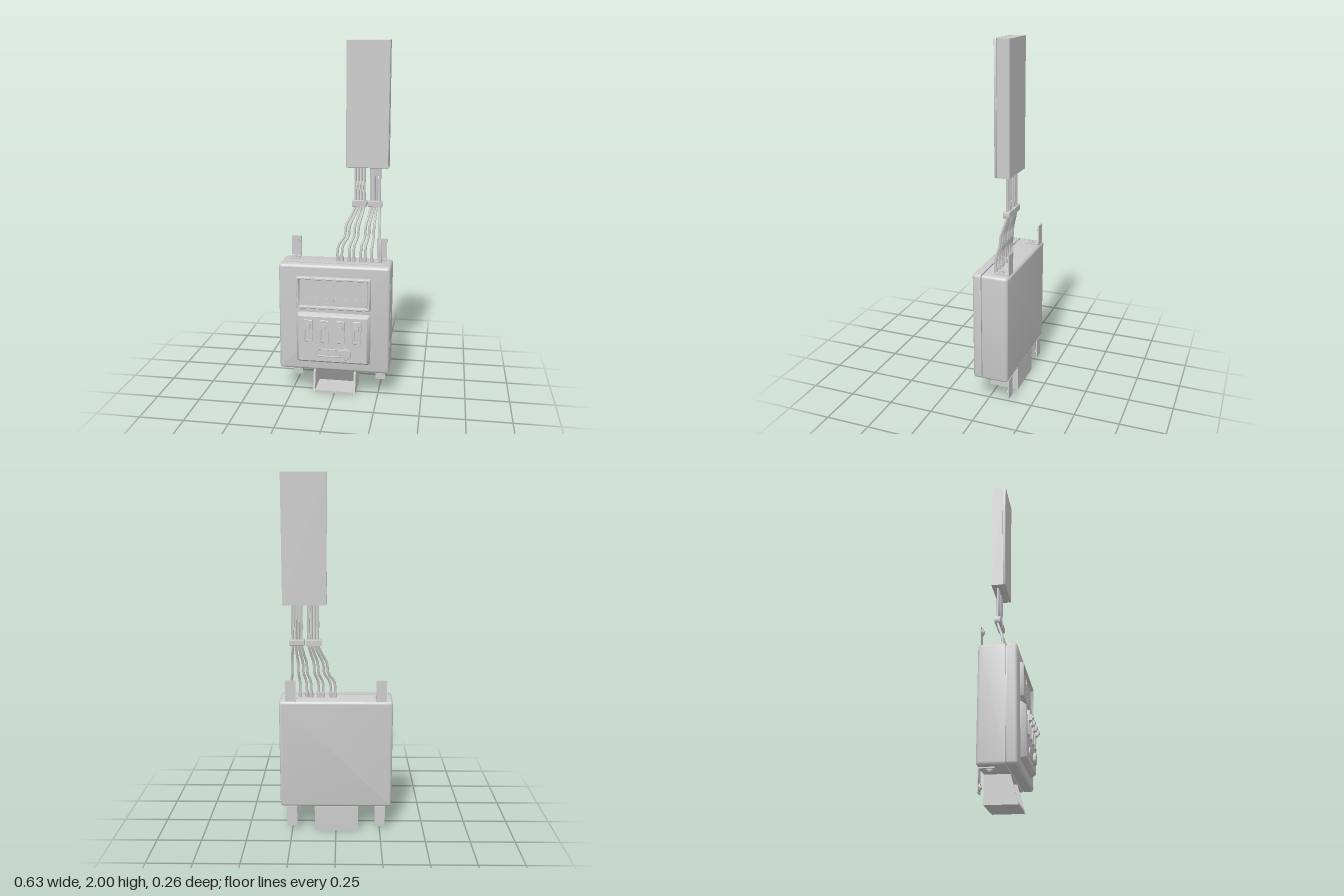
import * as THREE from 'three';
import { toCreasedNormals } from 'three/addons/utils/BufferGeometryUtils.js';

const mat = new THREE.MeshStandardMaterial({ color: 0xcccccc, side: THREE.DoubleSide });

function add(parent, name, geo, x = 0, y = 0, z = 0) {
  const m = new THREE.Mesh(geo, mat);
  m.name = name;
  m.position.set(x, y, z);
  parent.add(m);
  return m;
}
const box = (parent, name, x0, x1, y0, y1, z0, z1) =>
  add(parent, name, new THREE.BoxGeometry(x1 - x0, y1 - y0, z1 - z0), (x0 + x1) / 2, (y0 + y1) / 2, (z0 + z1) / 2);

// Rounded-rectangle outline, counter-clockwise seen from the front
function outline(w, h, r, n = 4) {
  const pts = [];
  [[1, 1], [-1, 1], [-1, -1], [1, -1]].forEach(([sx, sy], q) => {
    for (let i = 0; i <= n; i++) {
      const a = (q + i / n) * Math.PI / 2;
      pts.push([sx * (w / 2 - r) + r * Math.cos(a), sy * (h / 2 - r) + r * Math.sin(a)]);
    }
  });
  return pts;
}

// Capped loft through rounded rectangles; each ring is [z, inset], back to front
function shell(parent, name, x0, x1, y0, y1, r, rings) {
  const pos = [], idx = [];
  const loops = rings.map(([z, d]) =>
    outline(x1 - x0 - 2 * d, y1 - y0 - 2 * d, Math.max(r - d, 0.002)).map(p => [...p, z]));
  const n = loops[0].length;
  loops.forEach(l => l.forEach(p => pos.push(...p)));
  for (let k = 0; k < loops.length - 1; k++) {
    for (let i = 0; i < n; i++) {
      const j = (i + 1) % n, a = k * n + i, b = k * n + j;
      idx.push(a, b, b + n, a, b + n, a + n);
    }
  }
  const last = (loops.length - 1) * n;
  for (let i = 1; i < n - 1; i++) idx.push(0, i + 1, i, last, last + i, last + i + 1);
  const g = new THREE.BufferGeometry();
  g.setAttribute('position', new THREE.Float32BufferAttribute(pos, 3));
  g.setIndex(idx);
  return add(parent, name, toCreasedNormals(g, 0.6), (x0 + x1) / 2, (y0 + y1) / 2, 0);
}

function bolt(parent, name, x, y, z, alongZ) {
  const b = new THREE.Group();
  b.name = name;
  add(b, 'washer', new THREE.CylinderGeometry(0.019, 0.019, 0.006, 20), 0, 0.003, 0);
  add(b, 'boltHead', new THREE.CylinderGeometry(0.011, 0.012, 0.012, 6), 0, 0.006, 0);
  b.position.set(x, y, z);
  if (alongZ) b.rotation.x = Math.PI / 2;
  parent.add(b);
}

// L-shaped wall bracket; s = 1 above the case, -1 below it
function bracket(parent, x, s) {
  const g = new THREE.Group();
  g.name = s > 0 ? 'upperBracket' : 'lowerBracket';
  const edge = s > 0 ? 0.775 : 0.15, w = 0.029;
  const span = (a, b) => [edge + s * a, edge + s * b].sort((p, q) => p - q);
  box(g, 'wallTab', x - w, x + w, ...span(0, 0.12), -0.128, -0.122);
  box(g, 'flange', x - w, x + w, ...span(0, 0.006), -0.128, -0.045);
  bolt(g, 'wallBolt', x, edge + s * 0.092, -0.122, true);
  const f = new THREE.Group();
  bolt(f, 'flangeBolt', 0, 0, 0, false);
  f.name = 'flangeFixing';
  f.position.set(x, edge + s * 0.006, -0.073);
  if (s < 0) f.rotation.x = Math.PI;
  g.add(f);
  parent.add(g);
}

function buildCase(root) {
  const g = new THREE.Group();
  g.name = 'case';
  shell(g, 'backCase', -0.315, 0.315, 0.15, 0.775, 0.016,
    [[-0.131, 0.015], [-0.129, 0.008], [-0.124, 0.003], [-0.116, 0], [0.012, 0]]);
  shell(g, 'seam', -0.306, 0.306, 0.159, 0.766, 0.01, [[0.01, 0], [0.022, 0]]);
  shell(g, 'frontCover', -0.315, 0.315, 0.15, 0.775, 0.016,
    [[0.02, 0], [0.058, 0], [0.065, 0.003], [0.069, 0.008], [0.071, 0.015]]);

  // Display window with a sunken screen
  shell(g, 'displayFrame', -0.215, 0.21, 0.52, 0.71, 0.012,
    [[0.07, 0], [0.087, 0.004], [0.09, 0.007], [0.09, 0.014], [0.076, 0.02]]);
  box(g, 'displayLowerStrip', -0.193, 0.188, 0.542, 0.588, 0.075, 0.079);
  box(g, 'displayDivider', -0.004, -0.001, 0.588, 0.688, 0.075, 0.078);
  for (const y of [0.575, 0.615, 0.665]) box(g, 'displayMark', -0.007, 0.002, y - 0.005, y + 0.005, 0.075, 0.081);

  // Raised control panel
  shell(g, 'controlPanel', -0.215, 0.21, 0.2, 0.5, 0.018,
    [[0.07, 0], [0.078, 0.003], [0.094, 0.013], [0.1, 0.018]]);
  root.add(g);
}

function buildControls(root) {
  [-0.14, -0.048, 0.045, 0.137].forEach(x => {
    const s = new THREE.Group();
    s.name = 'switch';
    shell(s, 'switchPlate', x - 0.024, x + 0.024, 0.335, 0.465, 0.004,
      [[0.099, 0], [0.107, 0], [0.109, 0.002], [0.109, 0.009], [0.104, 0.01]]);
    box(s, 'switchBase', x - 0.024, x + 0.024, 0.41, 0.462, 0.1, 0.113);
    box(s, 'switchLever', x - 0.012, x + 0.012, 0.414, 0.445, 0.11, 0.123);
    box(s, 'switchTip', x - 0.012, x + 0.012, 0.424, 0.436, 0.12, 0.13);
    root.add(s);
  });
  // Sliding handle and its track
  shell(root, 'sliderTrack', -0.1, 0.1, 0.245, 0.295, 0.022,
    [[0.099, 0], [0.104, 0], [0.105, 0.002], [0.105, 0.006], [0.102, 0.008]]);
  const knob = new THREE.LatheGeometry(
    [[0, 0], [0.033, 0], [0.033, 0.012], [0.03, 0.017], [0, 0.017]].map(p => new THREE.Vector2(...p)), 32);
  add(root, 'sliderKnob', toCreasedNormals(knob, 0.6), 0.072, 0.27, 0.1).rotation.x = Math.PI / 2;
}

// Open-fronted tray below the case, flaring forward
function buildTray(root) {
  const g = new THREE.Group();
  g.name = 'tray';
  const side = new THREE.Shape([[-0.125, 0], [0.05, 0], [0.01, 0.15], [-0.125, 0.15]].map(p => new THREE.Vector2(...p)));
  const wall = new THREE.ExtrudeGeometry(side, { depth: 0.012, bevelEnabled: false });
  wall.rotateY(-Math.PI / 2);
  for (const x of [-0.115, 0.121]) add(g, 'trayWall', wall, x);
  box(g, 'trayFloor', -0.116, 0.11, 0, 0.012, -0.125, 0.048);
  box(g, 'trayBack', -0.116, 0.11, 0, 0.15, -0.125, -0.113);
  const slope = box(g, 'traySlope', -0.116, 0.11, 0.0, 0.17, -0.06, -0.054);
  slope.rotation.x = 0.6;
  root.add(g);
}

function buildWiring(root) {
  const g = new THREE.Group();
  g.name = 'wiring';
  const top = [0.097, 0.114, 0.131, 0.148, 0.186, 0.202, 0.218, 0.235];
  const low = [0.004, 0.03, 0.071, 0.097, 0.138, 0.163, 0.2, 0.248];
  top.forEach((a, i) => {
    const b = low[i];
    const mix = t => a + (b - a) * t;
    const pts = [
      [a, 1.32, -0.1], [a, 1.2, -0.1], [a, 1.09, -0.1], [mix(0.15), 1.05, -0.09],
      [mix(0.5), 0.98, -0.067], [mix(0.58), 0.92, -0.06],
      [mix(0.92), 0.87, -0.045], [b, 0.82, -0.04], [b, 0.765, -0.042]
    ].map(p => new THREE.Vector3(...p));
    add(g, 'wire', new THREE.TubeGeometry(new THREE.CatmullRomCurve3(pts, false, 'centripetal'), 48, 0.007, 8));
    add(g, 'wireSleeve', new THREE.CylinderGeometry(0.01, 0.01, 0.03, 12), b, 0.788, -0.042);
  });
  // Cable clips, one per bundle of four
  for (const [x0, x1] of [[0.079, 0.163], [0.169, 0.25]]) {
    shell(g, 'cableClip', x0, x1, 1.086, 1.12, 0.004, [[-0.117, 0.002], [-0.115, 0], [-0.084, 0], [-0.082, 0.002]]);
  }
  root.add(g);
}

function buildConduit(root) {
  const g = new THREE.Group();
  g.name = 'conduit';
  box(g, 'conduitBase', 0.05, 0.286, 1.31, 2, -0.131, -0.067);
  box(g, 'conduitSeam', 0.056, 0.28, 1.316, 1.994, -0.068, -0.06);
  shell(g, 'conduitCover', 0.05, 0.286, 1.31, 2, 0.004, [[-0.062, 0], [-0.052, 0], [-0.049, 0.003]]);
  root.add(g);
}

export function createModel() {
  const root = new THREE.Group();
  root.name = 'controlBox';
  buildCase(root);
  buildControls(root);
  buildTray(root);
  for (const x of [-0.25, 0.25]) for (const s of [1, -1]) bracket(root, x, s);
  buildWiring(root);
  buildConduit(root);
  return root;
}
